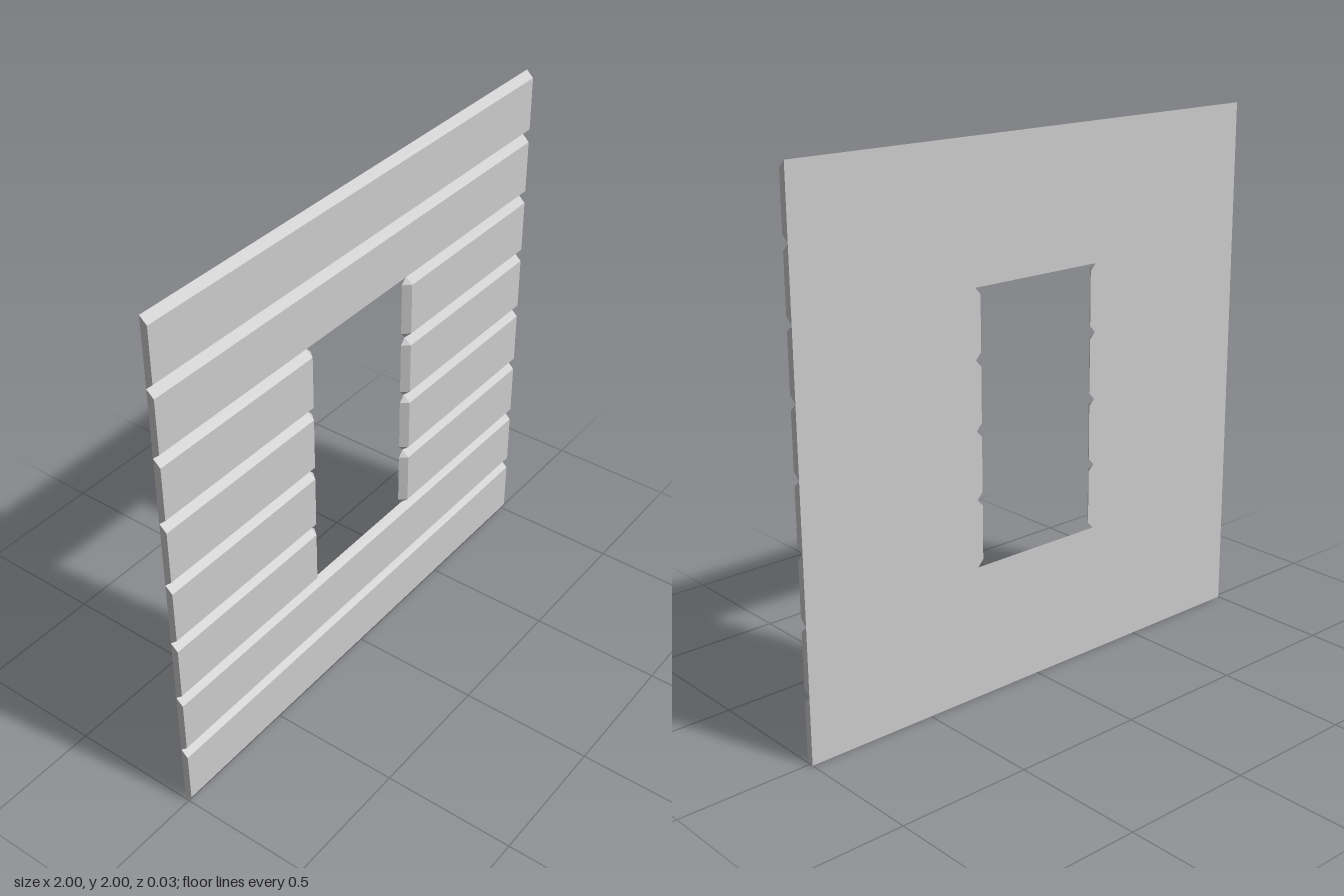
import * as THREE from 'three';
import { ConvexGeometry } from 'three/addons/geometries/ConvexGeometry.js';

const ROWS = 8, ROW_HEIGHT = 0.25;
const BEVEL = 0.025;      // height of the sloped top and bottom edges
const HALF_DEPTH = 0.0135;
const OPENING_FRONT = 0.277, OPENING_BACK = 0.254; // half widths of the window opening

const material = new THREE.MeshStandardMaterial({ color: 0xcccccc, flatShading: true });

// One plank: flat back, smaller front face, straight outer ends.
// With an opening end, the inner end is bevelled with clipped corners.
function plank(name, x0, x1, y, side = 0) {
  const points = [];
  const add = (x, py, z) => points.push(new THREE.Vector3(x, py, z));
  for (const [edge, inset] of [[y, BEVEL], [y + ROW_HEIGHT, -BEVEL]]) {
    for (const x of [x0, x1]) {
      add(x, edge, -HALF_DEPTH);
      add(x, edge + inset, HALF_DEPTH);
    }
    if (side) add(side * OPENING_BACK, edge + inset, -HALF_DEPTH);
  }
  const mesh = new THREE.Mesh(new ConvexGeometry(points), material);
  mesh.name = name;
  return mesh;
}

export function createModel() {
  const wall = new THREE.Group();
  wall.name = 'plankWallWithWindow';
  for (let row = 0; row < ROWS; row++) {
    const y = row * ROW_HEIGHT;
    if (row >= 2 && row <= 5) {
      // Short planks either side of the window
      wall.add(plank(`rightPlank${row + 1}`, -1, -OPENING_FRONT, y, -1));
      wall.add(plank(`leftPlank${row + 1}`, OPENING_FRONT, 1, y, 1));
    } else {
      wall.add(plank(`fullPlank${row + 1}`, -1, 1, y));
    }
  }
  return wall;
}
